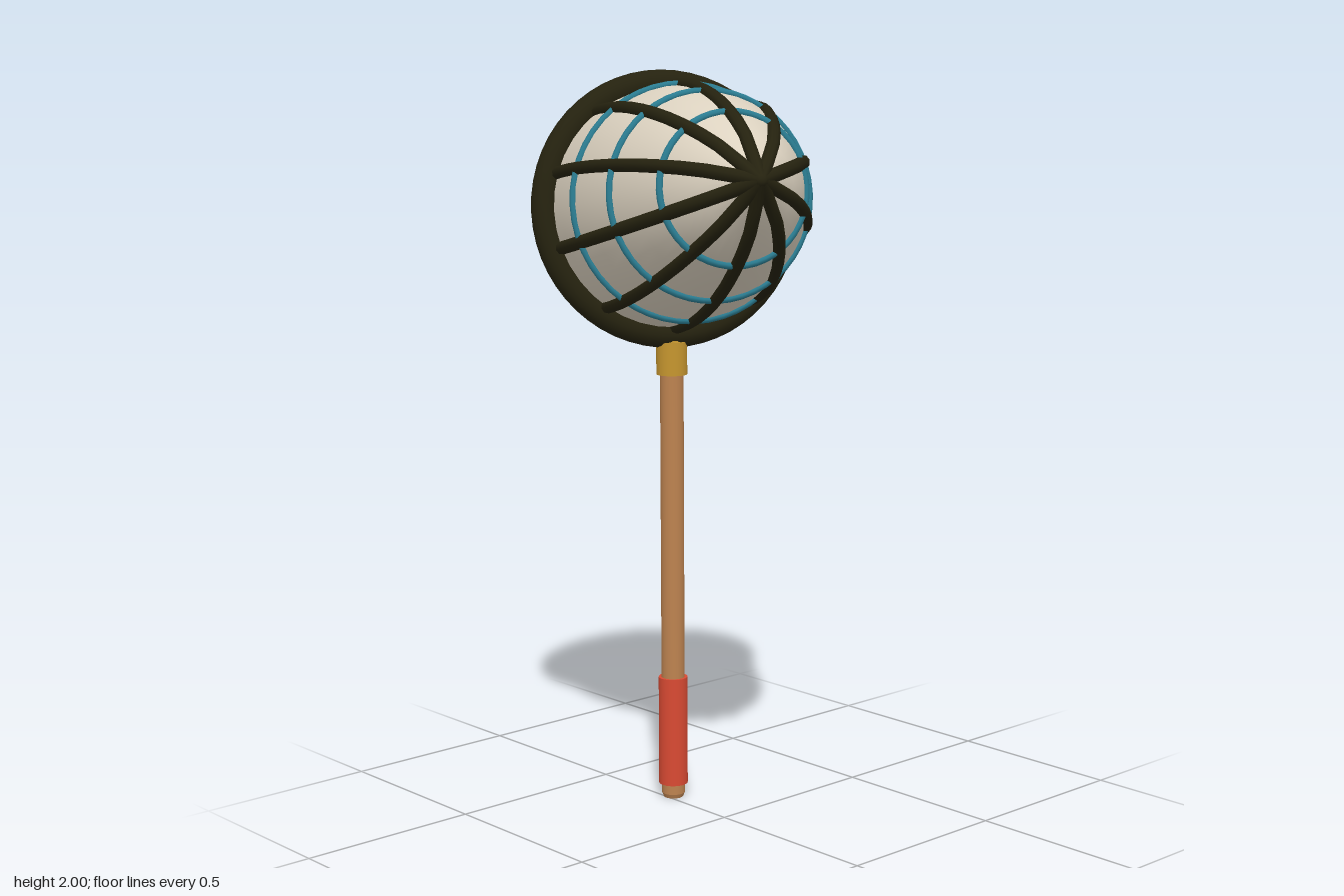
import * as THREE from 'three';

const mat = (name, color) => {
  const m = new THREE.MeshStandardMaterial({ color });
  m.name = name;
  return m;
};

export function createModel() {
  const olive = mat('dark olive', 0x25220f);
  const cloth = mat('cream cloth', 0xdcd2c0);
  const blue = mat('teal cord', 0x2b7d92);
  const wood = mat('wood', 0xbd8350);
  const red = mat('red grip', 0xd94a33);
  const gold = mat('brass', 0xc6962f);

  const model = new THREE.Group();
  model.name = 'handNet';
  const add = (parent, name, geometry, material) => {
    const mesh = new THREE.Mesh(geometry, material);
    mesh.name = name;
    parent.add(mesh);
    return mesh;
  };

  // Handle: stacked cylinders given by radius and height range
  const handle = new THREE.Group();
  handle.name = 'handle';
  handle.position.set(-0.23, 0, -0.02);
  model.add(handle);
  const rod = (name, rTop, rBottom, y0, y1, material) => {
    add(handle, name, new THREE.CylinderGeometry(rTop, rBottom, y1 - y0, 20), material)
      .position.y = (y0 + y1) / 2;
  };
  rod('pole', 0.032, 0.032, 0.012, 1.25, wood);
  rod('poleEnd', 0.032, 0.027, 0, 0.012, wood);
  rod('grip', 0.04, 0.04, 0.04, 0.345, red);
  rod('collar', 0.042, 0.042, 1.19, 1.28, gold);
  rod('collarNeck', 0.03, 0.036, 1.28, 1.335, gold);

  // Head: local +y runs from the hoop to the tip, local +z is up
  const head = new THREE.Group();
  head.name = 'netHead';
  const tilt = 0.157, heading = 0.441;
  const axis = new THREE.Vector3(
    Math.cos(heading) * Math.cos(tilt), Math.sin(tilt), Math.sin(heading) * Math.cos(tilt));
  const up = new THREE.Vector3(0, 1, 0).addScaledVector(axis, -axis.y).normalize();
  const side = new THREE.Vector3().crossVectors(axis, up);
  head.quaternion.setFromRotationMatrix(new THREE.Matrix4().makeBasis(side, axis, up));
  head.position.set(-0.275, 1.631, -0.045);
  model.add(head);

  add(head, 'hoop', new THREE.TorusGeometry(0.335, 0.038, 14, 56), olive)
    .rotation.x = Math.PI / 2;

  // Bag: domed profile, cream outside and dark lining inside
  const length = 0.803;
  const radius = (t) => 0.32 * Math.pow(Math.max(0, 1 - t * t), 0.7);
  const profile = [];
  for (let i = 0; i <= 8; i++) profile.push(new THREE.Vector2(radius(i / 8), length * i / 8));
  add(head, 'bag', new THREE.LatheGeometry(profile, 40), cloth);
  const lining = profile.map((p) => new THREE.Vector2(p.x * 0.97, p.y * 0.985)).reverse();
  add(head, 'bagLining', new THREE.LatheGeometry(lining, 40), olive);

  // Ten ribs from hoop to tip
  const ribPath = new THREE.CatmullRomCurve3(
    profile.map((p) => new THREE.Vector3(0, p.y, p.x)));
  const ribGeometry = new THREE.TubeGeometry(ribPath, 12, 0.0175, 8);
  for (let i = 0; i < 10; i++) {
    add(head, 'rib', ribGeometry, olive).rotation.y = i * Math.PI / 5;
  }
  add(head, 'tip', new THREE.SphereGeometry(0.018, 12, 8), olive).position.y = length;

  // Cord bands around the bag
  for (const t of [0.25, 0.5, 0.735]) {
    const band = add(head, 'cordBand',
      new THREE.TorusGeometry(radius(t) + 0.002, 0.0095, 8, 48), blue);
    band.rotation.x = Math.PI / 2;
    band.position.y = length * t;
  }
  return model;
}
